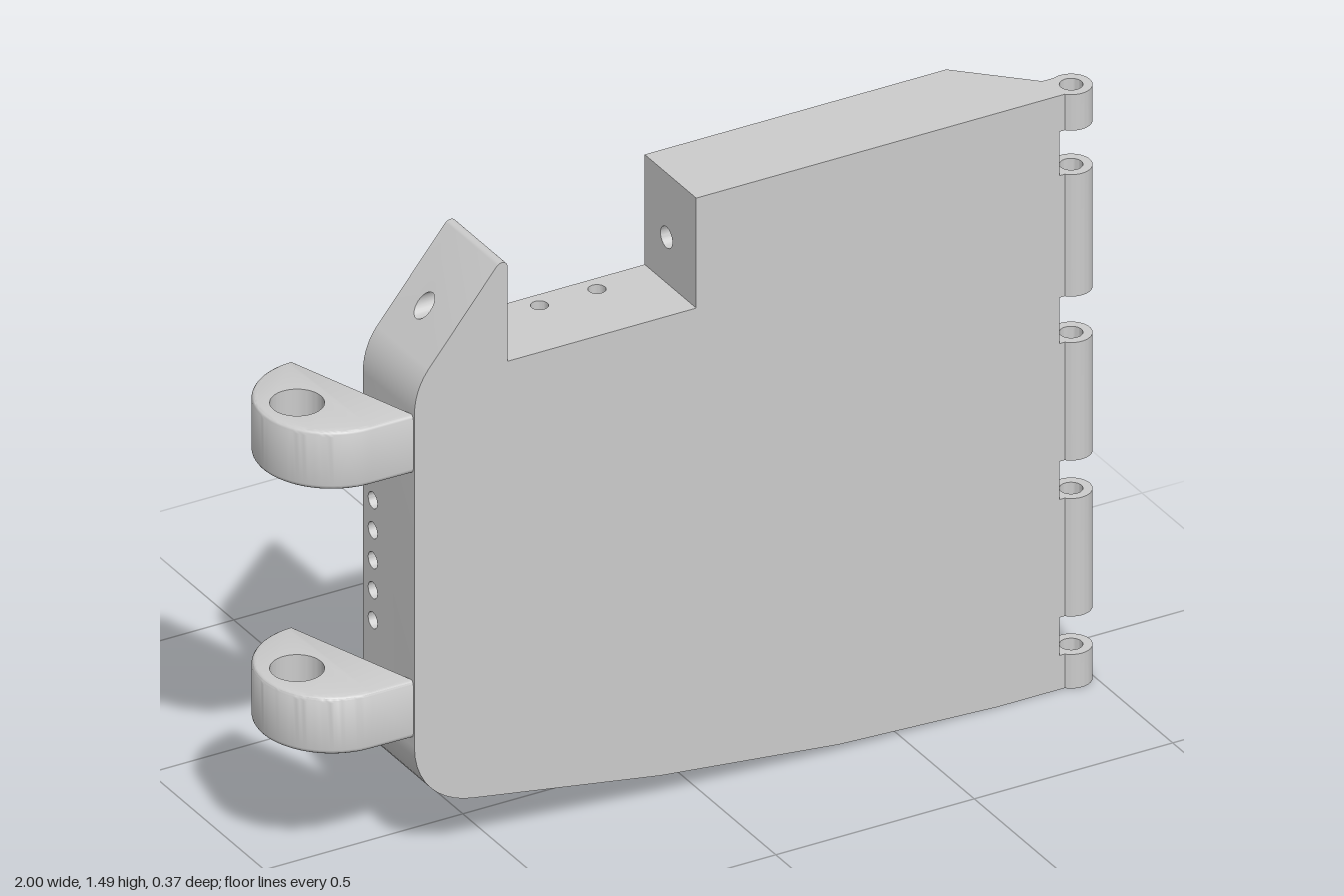
import * as THREE from 'three';
import { mergeGeometries, toCreasedNormals } from 'three/addons/utils/BufferGeometryUtils.js';

const V3 = (x, y, z) => new THREE.Vector3(x, y, z);
const V2 = (x, y) => new THREE.Vector2(x, y);
const X = V3(1, 0, 0), Y = V3(0, 1, 0), Z = V3(0, 0, 1);
const FRONT = 0.17, BACK = -0.055, STEP = 0.095;   // plate depth; STEP is where the hinge bevel ends
const EDGE = 0.905, BEVEL = 0.75, TOP = 1.485;

const material = new THREE.MeshStandardMaterial({ color: 0xcccccc });
const boreMaterial = new THREE.MeshStandardMaterial({ color: 0xcccccc, side: THREE.DoubleSide });

function mesh(name, geometry, mat = material, crease = 0.5) {
  const m = new THREE.Mesh(toCreasedNormals(geometry, crease), mat);
  m.name = name;
  return m;
}

// Rim of a bore: a circle around its axis, slid along the axis onto the plane with normal n
function rim(hole, n, count = 24) {
  const axis = hole.axis === 'x' ? X : Y;
  const e1 = hole.axis === 'x' ? Y : X;
  return Array.from({ length: count }, (_, i) => {
    const a = (i / count) * Math.PI * 2;
    const d = V3(0, 0, 0).addScaledVector(e1, Math.cos(a) * hole.r).addScaledVector(Z, Math.sin(a) * hole.r);
    d.addScaledVector(axis, -d.dot(n) / axis.dot(n));
    return d.add(hole.at);
  });
}

// Wall and floor of a bore, running from its rim to coordinate "to" on its axis
function bore(hole, ring) {
  const far = ring.map((p) => p.clone().setComponent(hole.axis === 'x' ? 0 : 1, hole.to));
  const centre = hole.at.clone().setComponent(hole.axis === 'x' ? 0 : 1, hole.to);
  const pts = [];
  ring.forEach((p, i) => {
    const j = (i + 1) % ring.length;
    pts.push(p, ring[j], far[j], p, far[j], far[i]);
    if (!hole.through) pts.push(centre, far[i], far[j]);
  });
  return new THREE.BufferGeometry().setFromPoints(pts);
}

// Flat panel in the plane of u and v, with bores cut into it
function panel(origin, u, v, points, holes, bores) {
  const n = u.clone().cross(v);
  const shape = new THREE.Shape(points);
  for (const h of holes) {
    const ring = rim(h, n);
    shape.holes.push(new THREE.Path(ring.map((p) => {
      const d = p.clone().sub(origin);
      return V2(d.dot(u), d.dot(v));
    })));
    if (h.to !== undefined) bores.push(bore(h, ring));
  }
  const g = new THREE.ShapeGeometry(shape).toNonIndexed();
  return g.applyMatrix4(new THREE.Matrix4().makeBasis(u, v, n).setPosition(origin));
}

// Front outline of the plate, counter-clockwise
function plateOutline() {
  const s = new THREE.Shape();
  s.moveTo(EDGE, 0);
  for (const [x, y] of [[EDGE, TOP], [BEVEL, TOP], [-0.01, TOP], [-0.01, 1.21], [-0.485, 1.21], [-0.485, 1.445]]) s.lineTo(x, y);
  s.bezierCurveTo(-0.485, 1.462, -0.503, 1.467, -0.515, 1.452);
  s.lineTo(-0.685, 1.245);
  s.quadraticCurveTo(-0.72, 1.2, -0.72, 1.14);
  s.lineTo(-0.72, 0.31);
  s.bezierCurveTo(-0.72, 0.22, -0.66, 0.155, -0.57, 0.142);
  for (const [x, y] of [[-0.1, 0.066], [0.35, 0.018], [BEVEL, 0]]) s.lineTo(x, y);
  return s.getPoints(10);
}

function buildPlate() {
  const holes = [
    { at: V3(-0.62, 1.324, 0.04), r: 0.026, axis: 'x', to: -0.485, through: true },
    { at: V3(-0.485, 1.324, 0.04), r: 0.026, axis: 'x' },
    { at: V3(-0.01, 1.324, 0.04), r: 0.026, axis: 'x', to: 0.2 },
  ];
  for (const x of [-0.3, -0.155]) holes.push({ at: V3(x, 1.21, -0.012), r: 0.02, axis: 'y', to: 1.05 });
  for (let i = 0; i < 5; i++) holes.push({ at: V3(-0.72, 0.54 + i * 0.075, -0.012), r: 0.02, axis: 'x', to: -0.56 });

  const outline = plateOutline(), panels = [], bores = [];
  const backAt = (x) => (x > 0.9 ? STEP : BACK);

  // Front and back faces
  panels.push(panel(V3(0, 0, FRONT), X, Y, outline, [], bores));
  panels.push(panel(V3(0, 0, BACK), V3(-1, 0, 0), Y,
    outline.filter((p) => p.x < 0.9).map((p) => V2(-p.x, p.y)), [], bores));

  // Rim walls, one per outline segment
  outline.forEach((a, i) => {
    const b = outline[(i + 1) % outline.length];
    const length = a.distanceTo(b);
    if (length < 1e-5) return;
    const u = V3(b.x - a.x, b.y - a.y, 0).normalize();
    const origin = V3(a.x, a.y, 0);
    const onWall = holes.filter((h) => {
      const d = h.at.clone().sub(origin).setZ(0), t = d.dot(u);
      return t > 0 && t < length && d.addScaledVector(u, -t).length() < 0.002;
    });
    // seat each bore exactly on its wall
    for (const h of onWall) {
      const t = h.at.clone().sub(origin).dot(u);
      h.at.set(a.x + u.x * t, a.y + u.y * t, h.at.z);
    }
    panels.push(panel(origin, u, Z, [
      V2(0, FRONT), V2(0, backAt(a.x)), V2(length, backAt(b.x)), V2(length, FRONT)], onWall, bores));
  });

  // Slanted face behind the hinge, with four bores
  const v = V3(EDGE - BEVEL, 0, STEP - BACK), width = v.length();
  v.normalize();
  const t = (-0.01 - BACK) / v.z;
  const pinHoles = [0.13, 0.52, 0.92, 1.34].map((y) => (
    { at: V3(BEVEL + v.x * t, y, -0.01), r: 0.021, axis: 'x', to: 0.6 }));
  panels.push(panel(V3(BEVEL, 0, BACK), Y, v,
    [V2(0, 0), V2(TOP, 0), V2(TOP, width), V2(0, width)], pinHoles, bores));

  const group = new THREE.Group();
  group.name = 'plate';
  group.add(mesh('plateBody', mergeGeometries(panels)), mesh('plateBores', mergeGeometries(bores), boreMaterial));
  return group;
}

// Hinge knuckle: a drilled barrel with a short neck (shape y is -z)
function buildKnuckle(y0, y1) {
  const cx = 0.953, cz = 0.138, r = 0.047;
  const s = new THREE.Shape();
  s.moveTo(EDGE, -STEP);
  s.lineTo(EDGE, -FRONT);
  s.absarc(cx, -cz, r, Math.atan2(-0.032, -0.0344), Math.atan2(0.043, -0.019), false);
  s.closePath();
  s.holes.push(new THREE.Path().absarc(cx, -cz, 0.026, 0, Math.PI * 2, true));
  const g = new THREE.ExtrudeGeometry(s, { depth: y1 - y0, bevelEnabled: false, curveSegments: 28 });
  return mesh('hingeKnuckle', g.rotateX(-Math.PI / 2).translate(0, y0, 0));
}

// Mounting lug: round-ended block with softened edges and a straight bore
function buildLug(y0, y1) {
  const b = 0.012, r = 0.175, cx = -0.825, cz = -0.01, end = -0.72;
  const hx = -0.91, hz = -0.013, hr = 0.06;
  const s = new THREE.Shape();
  s.moveTo(end + 0.04, -cz + r);
  s.absarc(cx, -cz, r, Math.PI / 2, Math.PI * 1.5, false);
  s.lineTo(end + 0.04, -cz - r);
  s.closePath();
  s.holes.push(new THREE.Path().absarc(hx, -hz, hr, 0, Math.PI * 2, true));
  const g = new THREE.ExtrudeGeometry(s, {
    depth: y1 - y0 - 2 * b, bevelThickness: b, bevelSize: b, bevelOffset: -b, bevelSegments: 4, curveSegments: 32,
  }).rotateX(-Math.PI / 2).translate(0, y0 + b, 0);
  const p = g.attributes.position;
  for (let i = 0; i < p.count; i++) {
    // flat mounting end, and a bore of constant radius
    const dx = p.getX(i) - hx, dz = p.getZ(i) - hz, d = Math.hypot(dx, dz);
    if (p.getX(i) > end) p.setX(i, end);
    else if (d < hr + b + 0.002) p.setXYZ(i, hx + (dx / d) * hr, p.getY(i), hz + (dz / d) * hr);
  }
  return mesh('mountingLug', g, material, 0.6);
}

export function createModel() {
  const model = new THREE.Group();
  model.name = 'hingedPlate';
  model.add(buildPlate());
  for (const [a, b] of [[0, 0.085], [0.18, 0.475], [0.57, 0.865], [0.98, 1.285], [1.395, TOP]]) model.add(buildKnuckle(a, b));
  for (const [a, b] of [[0.33, 0.473], [0.992, 1.137]]) model.add(buildLug(a, b));
  return model;
}
